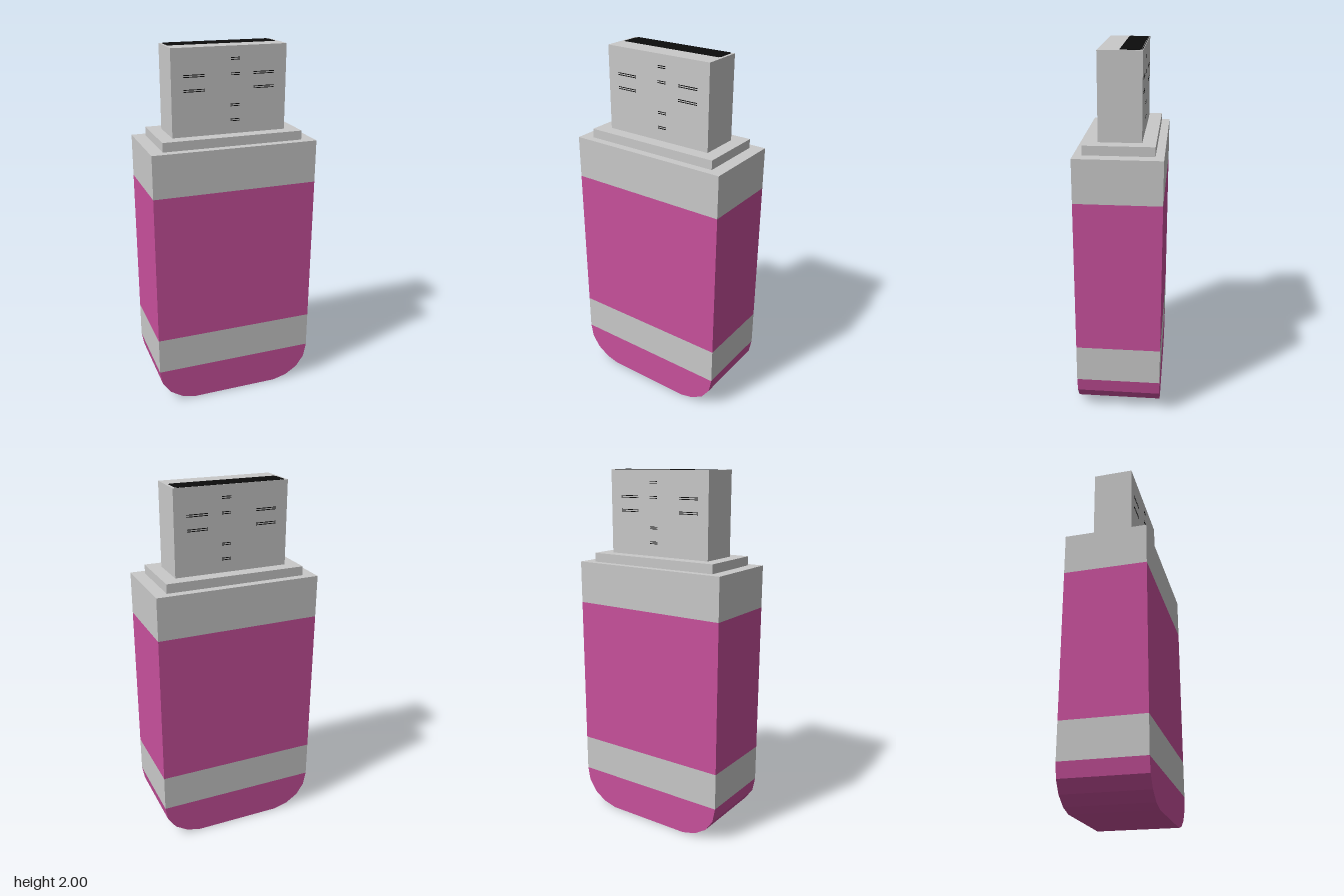
import * as THREE from 'three';

const mat = (name, color) => {
  const m = new THREE.MeshStandardMaterial({ color });
  m.name = name;
  return m;
};

export function createModel() {
  const silver = mat('silver', 0xc9c9c9);
  const pink = mat('pink', 0xc8509c);
  const black = mat('black', 0x0c0c0c);
  const group = new THREE.Group();

  const add = (name, geometry, material) => {
    const mesh = new THREE.Mesh(geometry, material);
    mesh.name = name;
    group.add(mesh);
    return mesh;
  };
  // Box given by its width, depth and vertical extent
  const block = (name, w, d, y0, y1, material, x = 0, z = 0) => {
    const mesh = add(name, new THREE.BoxGeometry(w, y1 - y0, d), material);
    mesh.position.set(x, (y0 + y1) / 2, z);
  };

  // Rounded end cap: faceted profile extruded through the depth
  const side = [[0.25, 0], [0.33, 0.02], [0.4, 0.065], [0.445, 0.13], [0.46, 0.21]];
  const outline = [...side, ...side.map(([x, y]) => [-x, y]).reverse()];
  const capShape = new THREE.Shape(outline.map(([x, y]) => new THREE.Vector2(x, y)));
  const cap = new THREE.ExtrudeGeometry(capShape, { depth: 0.46, bevelEnabled: false });
  cap.translate(0, 0, -0.23);
  add('endCap', cap, pink);

  // Flush bands of the body, then the stepped collar and the plug
  block('lowerBand', 0.92, 0.46, 0.21, 0.415, silver);
  block('grip', 0.92, 0.46, 0.415, 1.255, pink);
  block('upperBand', 0.92, 0.46, 1.255, 1.49, silver);
  block('collar', 0.78, 0.37, 1.49, 1.54, silver);
  block('plug', 0.634, 0.226, 1.54, 1.998, silver);

  // Contact slot in the plug's end, with notched corners
  block('slot', 0.59, 0.107, 1.996, 2, black, 0, -0.051);
  block('slotSides', 0.604, 0.096, 1.996, 1.9995, black, 0, -0.051);
  block('slotEdge', 0.59, 0.003, 1.996, 2, black, 0, -0.109);

  // Fine marks around the plug's latch windows, on both faces
  const windows = [[-0.195, 1.78, 1.855, 0.115], [0.19, 1.78, 1.855, 0.115],
    [0.03, 1.855, 1.933, 0.05], [0.03, 1.613, 1.693, 0.05]];
  for (const z of [-0.113, 0.113]) {
    for (const [x, low, high, w] of windows) {
      for (const y of [low, high]) {
        for (const dy of [-0.005, 0.005]) {
          block('windowMark', w, 0.002, y + dy - 0.002, y + dy + 0.002, black, x, z);
        }
      }
    }
  }
  return group;
}
